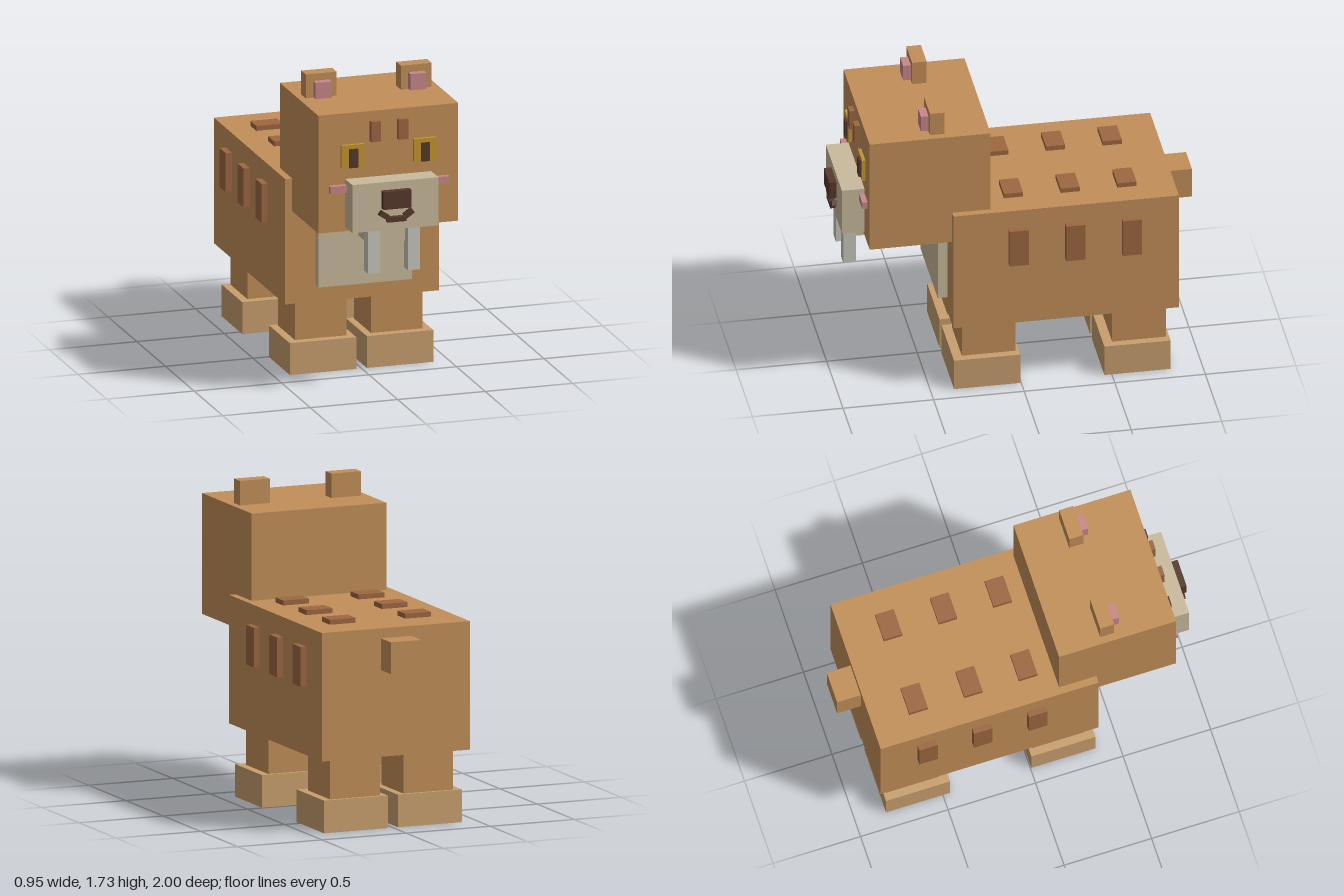
import * as THREE from 'three';

const mat = (name, color) => {
  const m = new THREE.MeshStandardMaterial({ color });
  m.name = name;
  return m;
};

export function createModel() {
  const fur = mat('fur', 0xc28f58);
  const paw = mat('paw', 0xc8a06e);
  const cream = mat('cream', 0xc9ba9c);
  const ivory = mat('ivory', 0xc8c8be);
  const stripe = mat('stripe', 0x9d6741);
  const pink = mat('pink', 0xc98889);
  const gold = mat('gold', 0xc4962f);
  const dark = mat('dark', 0x56392b);

  const model = new THREE.Group();
  model.name = 'bigCat';

  // Box given by its [min, max] range on each axis
  const box = (name, material, x, y, z) => {
    const mesh = new THREE.Mesh(
      new THREE.BoxGeometry(x[1] - x[0], y[1] - y[0], z[1] - z[0]), material);
    mesh.name = name;
    mesh.position.set((x[0] + x[1]) / 2, (y[0] + y[1]) / 2, (z[0] + z[1]) / 2);
    model.add(mesh);
    return mesh;
  };
  // The same box on the left (+x) and mirrored on the right
  const pair = (name, material, x, y, z) => {
    const cap = name[0].toUpperCase() + name.slice(1);
    return [box('left' + cap, material, x, y, z),
      box('right' + cap, material, [-x[1], -x[0]], y, z)];
  };

  // Body, chest and tail
  box('body', fur, [-0.44, 0.44], [0.405, 1.115], [-0.865, 0.38]);
  box('chest', cream, [-0.267, 0.267], [0.5, 0.85], [0.38, 0.435]);
  box('tail', fur, [-0.09, 0.09], [0.885, 1.06], [-1, -0.865]);

  // Stripes on the flanks and back
  [0.023, -0.29, -0.603].forEach((z) => {
    const range = [z - 0.053, z + 0.053];
    pair('flankStripe', stripe, [0.44, 0.475], [0.785, 1.005], range);
    pair('backStripe', stripe, [0.147, 0.3], [1.115, 1.142], range);
  });

  // Legs and paws
  [['front', 0.172, 0.188], ['back', -0.658, -0.642]].forEach(([end, legZ, pawZ]) => {
    pair(end + 'Leg', fur, [0.07, 0.365], [0.18, 0.405], [legZ - 0.148, legZ + 0.148]);
    pair(end + 'Paw', paw, [0.03, 0.41], [0, 0.18], [pawZ - 0.183, pawZ + 0.183]);
  });

  // Head and ears
  box('head', fur, [-0.4, 0.4], [0.93, 1.597], [0.167, 0.835]);
  pair('ear', fur, [0.183, 0.36], [1.597, 1.732], [0.415, 0.495]);
  pair('innerEar', pink, [0.225, 0.317], [1.6, 1.692], [0.495, 0.537]);

  // Brow marks, eyes and cheeks
  pair('browMark', stripe, [0.05, 0.106], [1.428, 1.542], [0.835, 0.865]);
  pair('eye', gold, [0.142, 0.272], [1.29, 1.42], [0.835, 0.853]);
  pair('pupil', dark, [0.18, 0.23], [1.292, 1.397], [0.853, 0.865]);
  pair('cheek', pink, [0.24, 0.34], [1.155, 1.196], [0.825, 0.865]);

  // Muzzle, chin, fangs and nose
  box('muzzle', cream, [-0.246, 0.246], [0.953, 1.225], [0.835, 0.96]);
  box('chin', cream, [-0.13, 0.13], [0.86, 0.953], [0.71, 0.88]);
  pair('fang', ivory, [0.08, 0.148], [0.706, 0.953], [0.865, 0.935]);
  box('nose', dark, [-0.08, 0.08], [1.08, 1.18], [0.96, 1]);

  // Mouth with upturned corners
  box('mouth', dark, [-0.055, 0.055], [1.003, 1.031], [0.96, 0.99]);
  pair('mouthCorner', dark, [0.042, 0.098], [1.028, 1.058], [0.96, 0.988])
    .forEach((corner, i) => { corner.rotation.z = i ? -0.6 : 0.6; });

  return model;
}
